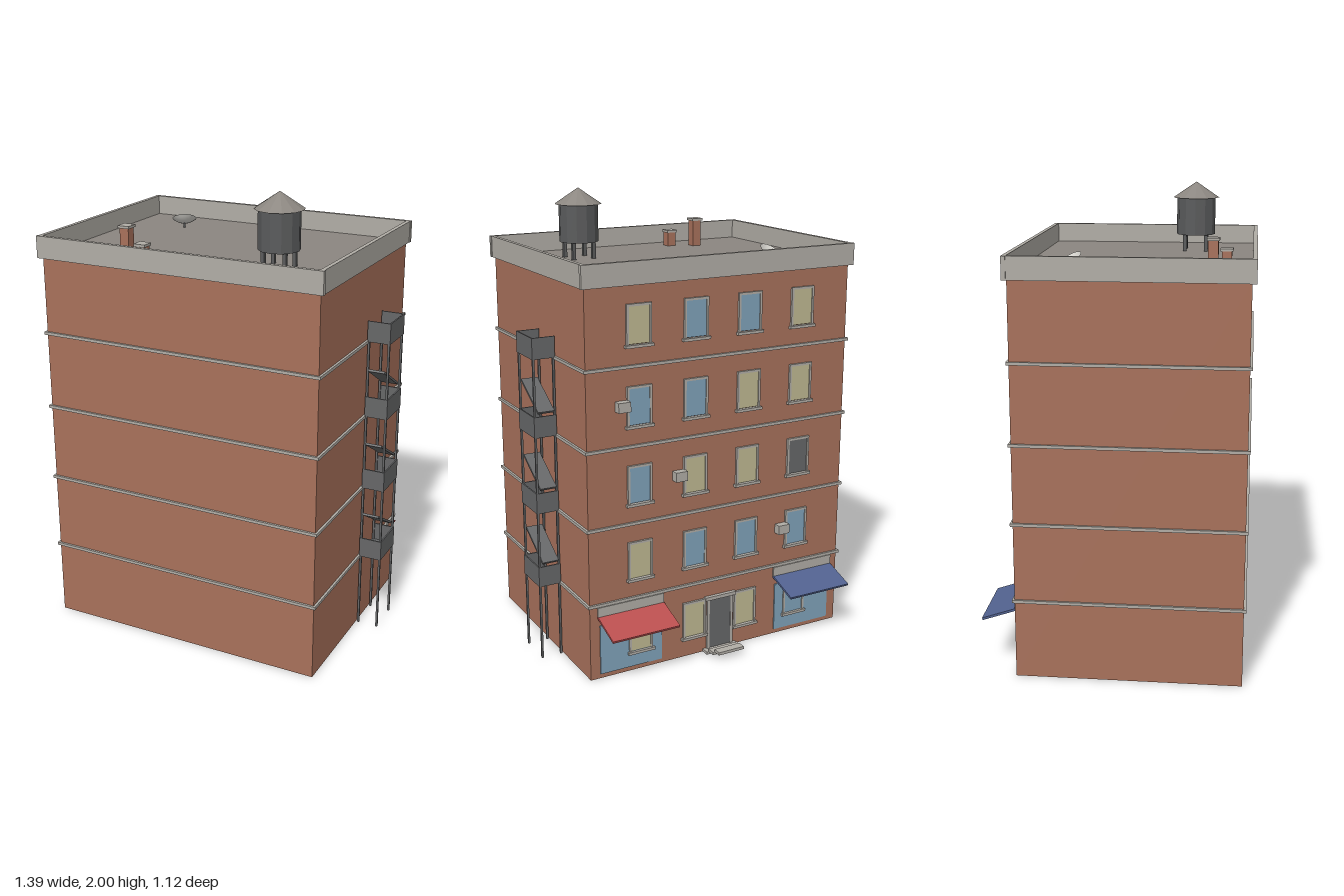
import * as THREE from 'three';

const mat = (name, color) => {
  const m = new THREE.MeshStandardMaterial({ color });
  m.name = name;
  return m;
};

export function createModel() {
  const brick = mat('brick', 0xa8715b);
  const concrete = mat('concrete', 0xb1ada6);
  const roofing = mat('roofing', 0x8b8680);
  const iron = mat('iron', 0x666768);
  const tankMetal = mat('tank metal', 0x5a5b5c);
  const glass = mat('blue glass', 0x80a2ba);
  const litGlass = mat('lit glass', 0xbfb892);
  const red = mat('red canvas', 0xbb5050);
  const blue = mat('blue canvas', 0x52628f);
  const white = mat('dish white', 0xd6d4ce);
  white.side = THREE.DoubleSide;

  const root = new THREE.Group();
  root.name = 'apartmentBuilding';

  const group = (name, parent = root) => {
    const g = new THREE.Group();
    g.name = name;
    parent.add(g);
    return g;
  };
  const mesh = (name, geo, m, x, y, z, parent = root) => {
    const o = new THREE.Mesh(geo, m);
    o.name = name;
    o.position.set(x, y, z);
    parent.add(o);
    return o;
  };
  const box = (name, m, w, h, d, x, y, z, parent) =>
    mesh(name, new THREE.BoxGeometry(w, h, d), m, x, y, z, parent);
  const facet = (geo) => {
    const g = geo.toNonIndexed();
    g.computeVertexNormals();
    return g;
  };

  // Main block: five storeys
  const W = 1.265, D = 0.95, H = 1.685, CX = -0.0475, CZ = 0.066;
  const STOREY = 0.337, BACK = CZ - D / 2;
  box('walls', brick, W, H, D, CX, H / 2, CZ);
  box('roofDeck', roofing, W, 0.006, D, CX, H + 0.003, CZ);
  for (let k = 1; k < 5; k++)
    box('floorBand', concrete, W + 0.02, 0.013, D + 0.02, CX, STOREY * k + 0.003, CZ);

  // Parapet
  const parapet = group('parapet');
  for (const s of [-1, 1]) {
    box('parapetLong', concrete, W + 0.035, 0.095, 0.018, CX, 1.729, CZ + s * (D / 2 + 0.0085), parapet);
    box('parapetShort', concrete, 0.018, 0.095, D + 0.018, CX + s * (W / 2 + 0.005), 1.729, CZ, parapet);
  }

  // Windows on the back face, listed from +x to -x, ground floor first
  const columns = [0.395, 0.13, -0.13, -0.395].map((v) => CX + v);
  const rows = ['LLLB', 'LBBB', 'BLLD', 'BBLL', 'LBBL'];
  const panes = { L: litGlass, B: glass, D: iron };
  rows.forEach((row, k) => columns.forEach((x, c) => {
    const w = group('window');
    w.position.set(x, STOREY * k + 0.172, BACK);
    box('pane', panes[row[c]], 0.098, 0.155, 0.012, 0, 0, 0, w);
    for (const s of [-1, 1])
      box('jamb', concrete, 0.01, 0.172, 0.02, s * 0.052, 0, 0, w);
    box('lintel', concrete, 0.114, 0.01, 0.02, 0, 0.081, 0, w);
    box('sill', concrete, 0.128, 0.012, 0.034, 0, -0.086, 0, w);
  }));

  // Air conditioners beside three windows
  for (const [c, k] of [[3, 1], [1, 2], [0, 3]])
    box('airConditioner', concrete, 0.056, 0.042, 0.034, columns[c] + 0.08, STOREY * k + 0.181, BACK - 0.017);

  // Shopfronts with sign band and awning
  for (const [s, canvas] of [[1, red], [-1, blue]]) {
    const shop = group('shopfront');
    shop.position.set(CX + s * 0.44, 0, BACK);
    box('shopGlass', glass, 0.295, 0.225, 0.008, 0, 0.133, -0.001, shop);
    box('signBand', concrete, 0.315, 0.045, 0.012, 0, 0.308, -0.002, shop);
    box('awning', canvas, 0.315, 0.01, 0.155, 0, 0.26, -0.075, shop).rotation.x = -0.33;
  }

  // Entrance door and steps
  const entrance = group('entrance');
  entrance.position.set(CX, 0, BACK);
  box('door', iron, 0.11, 0.23, 0.014, 0, 0.13, -0.001, entrance);
  for (const s of [-1, 1])
    box('doorJamb', concrete, 0.012, 0.24, 0.02, s * 0.06, 0.13, 0, entrance);
  box('doorLintel', concrete, 0.155, 0.016, 0.034, 0, 0.256, 0, entrance);
  [0.166, 0.146, 0.128].forEach((w, i) =>
    box('step', concrete, w, 0.013, 0.038, 0, 0.0065 + i * 0.0125, -0.018 - i * 0.0365, entrance));

  // Fire escape on the +x side
  const escape = group('fireEscape');
  const EX = 0.641, EZ = -0.041, EW = 0.101, ED = 0.17;
  for (let k = 1; k < 5; k++) {
    const y = STOREY * k;
    box('platform', iron, EW, 0.012, ED, EX, y + 0.01, EZ, escape);
    box('outerRail', iron, 0.006, 0.09, ED, EX + EW / 2 - 0.003, y + 0.05, EZ, escape);
    for (const s of [-1, 1])
      box('sideRail', iron, EW, 0.09, 0.006, EX, y + 0.05, EZ + s * (ED / 2 - 0.003), escape);
    if (k < 4)
      box('stair', iron, 0.074, 0.01, 0.207, 0.638, y + 0.165, EZ, escape).rotation.x = -0.533;
  }
  for (const x of [0.596, 0.685])
    for (const s of [-1, 1])
      box('post', iron, 0.009, 1.39, 0.009, x, 0.695, EZ + s * 0.078, escape);

  // Water tank
  const tank = group('waterTank');
  tank.position.set(0.288, 0, 0.277);
  mesh('tankBody', facet(new THREE.CylinderGeometry(0.087, 0.087, 0.165, 12)), tankMetal, 0, 1.8475, 0, tank);
  mesh('tankRoof', facet(new THREE.ConeGeometry(0.104, 0.07, 12)), roofing, 0, 1.965, 0, tank);
  for (const x of [-1, 1])
    for (const z of [-1, 1])
      box('tankLeg', tankMetal, 0.016, 0.085, 0.016, x * 0.048, 1.728, z * 0.048, tank);

  // Chimneys
  for (const [x, z, top] of [[-0.365, 0.38, 1.82], [-0.258, 0.433, 1.765]]) {
    const h = top - 0.01 - H;
    box('chimney', brick, 0.042, h, 0.042, x, H + h / 2, z);
    box('chimneyCap', concrete, 0.053, 0.011, 0.053, x, top - 0.0055, z);
  }

  // Satellite dish tipped towards the back
  const axis = new THREE.Vector3(-0.26, 0.85, -0.46).normalize();
  const dish = group('satelliteDish');
  dish.position.set(-0.418, 1.73, -0.2).addScaledVector(axis, -0.02);
  dish.quaternion.setFromUnitVectors(new THREE.Vector3(0, 1, 0), axis);
  const profile = [0, 0.2, 0.4, 0.6, 0.8, 1].map((t) => new THREE.Vector2(0.055 * t, 0.022 * t * t));
  mesh('dishBowl', new THREE.LatheGeometry(profile, 20), white, 0, 0, 0, dish);
  mesh('dishFeed', new THREE.CylinderGeometry(0.002, 0.002, 0.035, 6), iron, 0, 0.0175, 0, dish);
  const mastH = dish.position.y - H;
  mesh('dishMast', new THREE.CylinderGeometry(0.005, 0.005, mastH, 8), iron,
    dish.position.x, H + mastH / 2 - 0.002, dish.position.z);

  return root;
}
